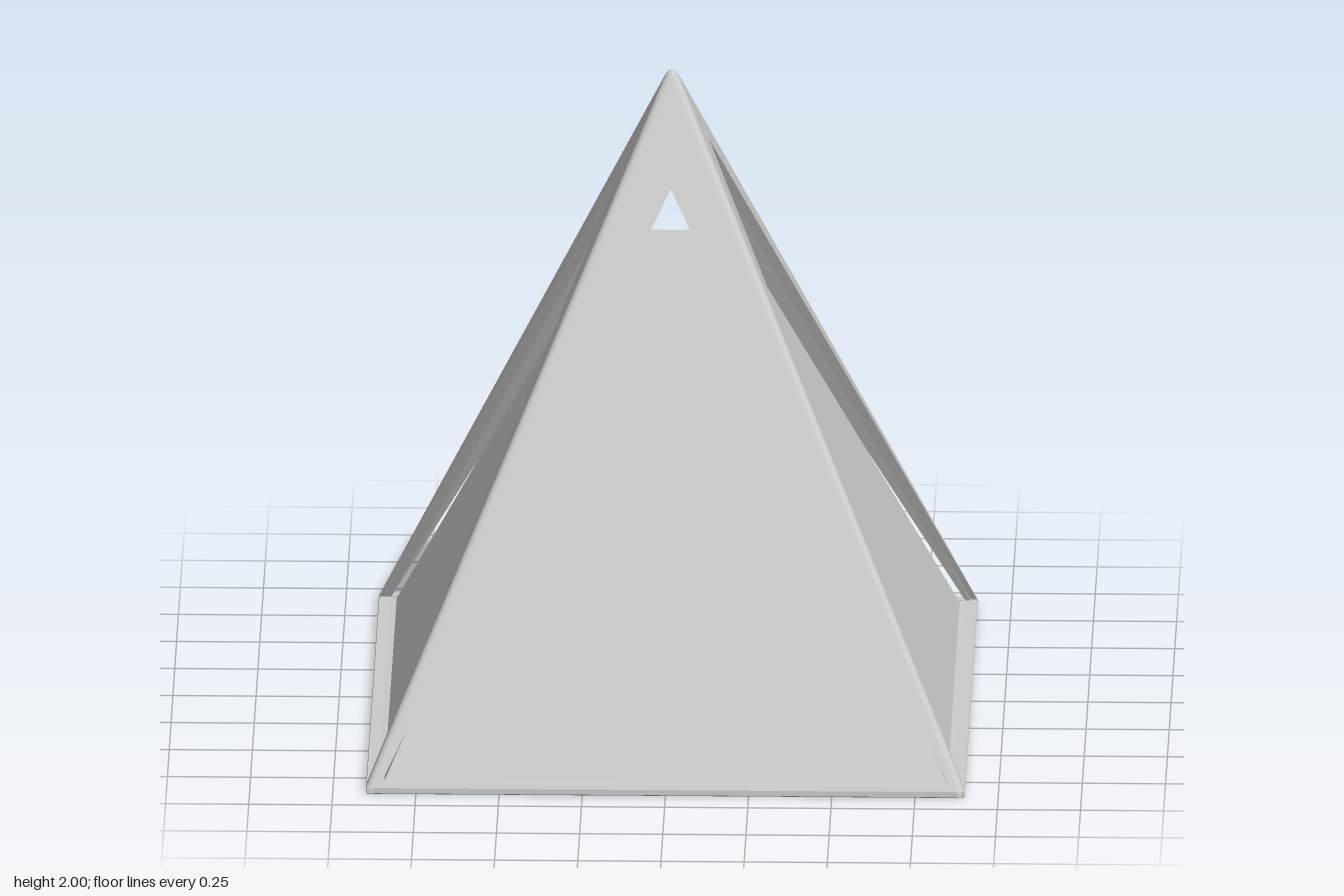
import * as THREE from 'three';

const R = 0.02;                 // rounding of the ridges
const Y0 = 0.02, Y1 = 1.985;    // sloping part of the frame
const HALF = 0.9;               // half width of the base
const WALL = 0.035;             // horizontal wall thickness
const halfAt = (y) => R + (Y1 - y) * (HALF - R) / (Y1 - Y0);

const grey = new THREE.MeshStandardMaterial({ color: 0xcccccc });
const greyDouble = new THREE.MeshStandardMaterial({ color: 0xcccccc, side: THREE.DoubleSide });

function named(geometry, name, material = grey) {
  const mesh = new THREE.Mesh(geometry, material);
  mesh.name = name;
  return mesh;
}

// Flat-faced square loft from a half-width/height profile
function squareLoft(profile) {
  const pts = profile.map(([h, y]) => new THREE.Vector2(h * Math.SQRT2, y));
  const geo = new THREE.LatheGeometry(pts, 4, Math.PI / 4).toNonIndexed();
  geo.computeVertexNormals();
  return geo;
}

// Sloping triangular wall with a triangular opening, leaned into place
function frameSide(openingTop, openingHalf) {
  const shape = new THREE.Shape([
    new THREE.Vector2(-(HALF - R), Y0),
    new THREE.Vector2(HALF - R, Y0),
    new THREE.Vector2(0, Y1),
  ]);
  shape.holes.push(new THREE.Path([
    new THREE.Vector2(-openingHalf, Y0 + 0.004),
    new THREE.Vector2(0, openingTop),
    new THREE.Vector2(openingHalf, Y0 + 0.004),
  ]));
  const geo = new THREE.ExtrudeGeometry(shape, { depth: WALL, bevelEnabled: false });
  const p = geo.attributes.position;
  for (let i = 0; i < p.count; i++) p.setZ(i, p.getZ(i) - WALL + halfAt(p.getY(i)));
  geo.computeVertexNormals();
  return geo;
}

// Quarter-round ridge ending in a quarter of the rounded tip
function ridge() {
  const rings = [[0, HALF, R], [Y0, HALF, R], [Y1, R, R], [1.994, 0.014, 0.014], [1.998, 0.008, 0.008], [2, 0, 0]];
  const n = 8, pos = [], idx = [];
  rings.forEach(([y, h, r], j) => {
    for (let i = 0; i <= n; i++) {
      const a = (i / n) * Math.PI / 2;
      pos.push(h - r + r * Math.cos(a), y, h - r + r * Math.sin(a));
      if (j < rings.length - 1 && i < n) {
        const p = j * (n + 1) + i, up = p + n + 1;
        idx.push(p, up, p + 1, p + 1, up, up + 1);
      }
    }
  });
  const geo = new THREE.BufferGeometry();
  geo.setAttribute('position', new THREE.Float32BufferAttribute(pos, 3));
  geo.setIndex(idx);
  geo.computeVertexNormals();
  return geo;
}

export function createModel() {
  const model = new THREE.Group();
  model.name = 'pyramid';

  // Outer frame: four open walls and four rounded ridges
  const frame = new THREE.Group();
  frame.name = 'frame';
  const sides = [
    ['front', 1.675, 0.86],
    ['left', 1.78, 0.872],
    ['back', 1.695, 0.862],
    ['right', 1.68, 0.86],
  ];
  sides.forEach(([name, top, half], i) => {
    const wall = named(frameSide(top, half), name + 'FrameWall');
    const edge = named(ridge(), 'ridge' + (i + 1));
    wall.rotation.y = edge.rotation.y = i * Math.PI / 2;
    frame.add(wall, edge);
  });

  // Base rim with a bevelled underside
  const rim = squareLoft([[0.895, 0], [HALF - 0.002, 0.003], [HALF - 0.002, Y0], [0.845, 0.024], [0.895, 0]]);
  frame.add(named(rim, 'baseRim'));
  model.add(frame);

  // Hollow truncated body inside the frame, open underneath
  const body = squareLoft([[0.847, 0.022], [0.178, 1.43], [0, 1.43]]);
  model.add(named(body, 'innerBody', greyDouble));
  return model;
}
